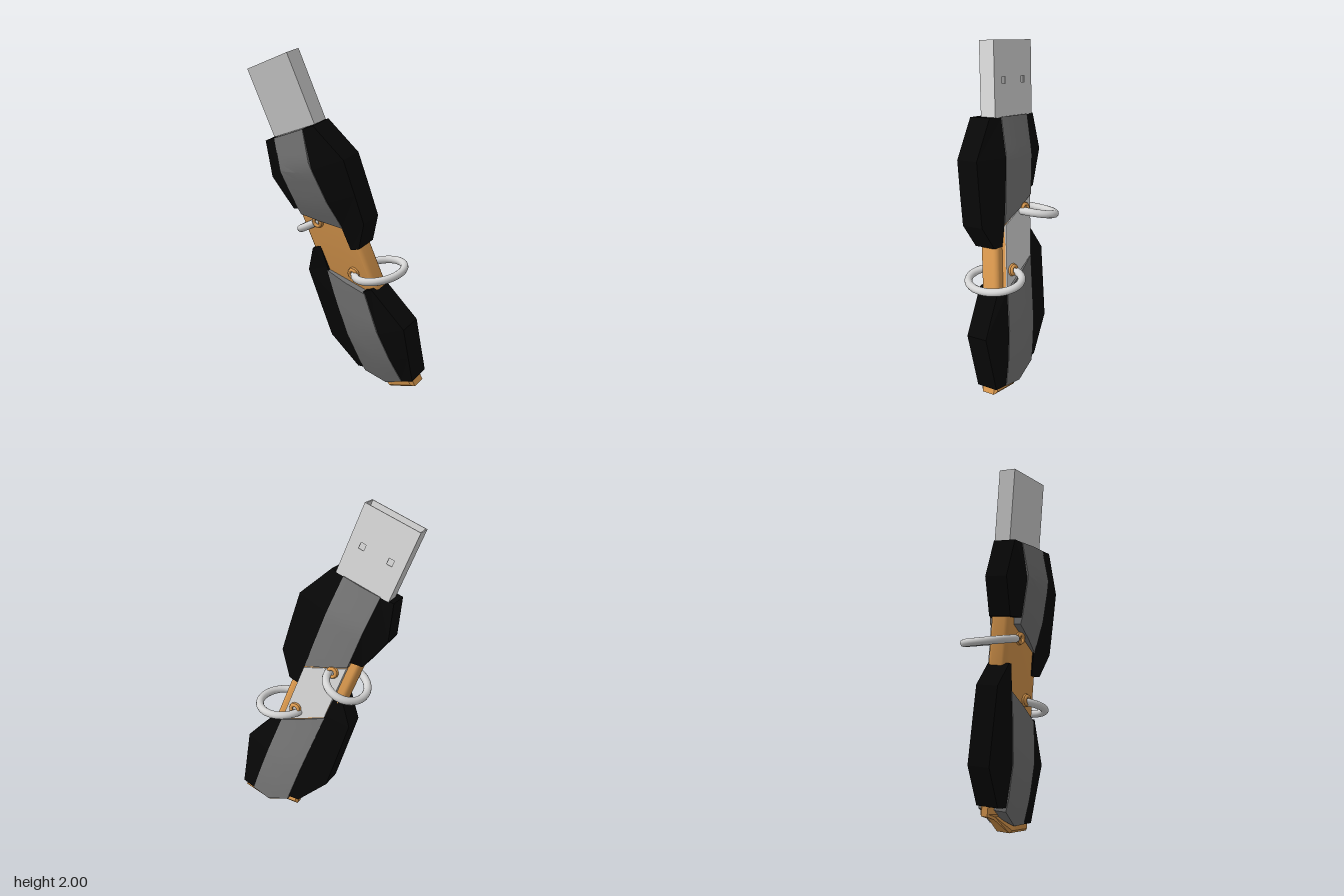
import * as THREE from 'three';
import { toCreasedNormals } from 'three/addons/utils/BufferGeometryUtils.js';

const mat = (name, color) => {
  const m = new THREE.MeshStandardMaterial({ color });
  m.name = name;
  return m;
};

// Piecewise linear lookup in a list of [v, value] points with rising v
const lookup = (pts, v) => {
  let i = 1;
  while (i < pts.length - 1 && v > pts[i][0]) i++;
  const [a, b] = [pts[i - 1], pts[i]];
  const k = THREE.MathUtils.clamp((v - a[0]) / (b[0] - a[0]), 0, 1);
  return a[1] + (b[1] - a[1]) * k;
};

export function createModel() {
  const black = mat('black casing', 0x070707);
  const grey = mat('dark grey metal', 0x747474);
  const silver = mat('silver metal', 0xd4d4d4);
  const orange = mat('copper orange', 0xdb994e);

  const model = new THREE.Group();
  model.name = 'tiltedUsbStick';

  // Tilted frame: u runs across the stick (u = -x), v along it, t through its thickness
  const W = new THREE.Vector3(0.389, 0.268, 0.881);
  const L = new THREE.Vector3(-0.331, 0.933, -0.137);
  const T = new THREE.Vector3(0.859, 0.238, -0.452);
  const stick = new THREE.Group();
  stick.name = 'stick';
  const basis = new THREE.Matrix4().makeBasis(W.clone().negate(), L, T);
  stick.quaternion.setFromRotationMatrix(basis).normalize();
  stick.position.set(0.352, 0.023, 0.107);
  model.add(stick);

  const add = (parent, name, geo, material) => {
    const mesh = new THREE.Mesh(geo, material);
    mesh.name = name;
    parent.add(mesh);
    return mesh;
  };
  const outline = (pts) => new THREE.Shape(pts.map(([u, v]) => new THREE.Vector2(-u, v)));
  // Slab with a (u, v) outline between two thickness levels, with rounded rims
  const slab = (pts, t0, t1, bevel = 0, segments = 1) => {
    const g = new THREE.ExtrudeGeometry(outline(pts), {
      depth: t1 - t0 - 2 * bevel, bevelEnabled: bevel > 0, bevelSegments: segments,
      bevelSize: bevel, bevelThickness: bevel, bevelOffset: -bevel,
    });
    return g.translate(0, 0, t0 + bevel);
  };
  const box = (u0, u1, v0, v1, t0, t1) =>
    new THREE.BoxGeometry(u1 - u0, v1 - v0, t1 - t0)
      .translate(-(u0 + u1) / 2, (v0 + v1) / 2, (t0 + t1) / 2);

  // Swelling of the casing faces along the stick
  const upper = {
    front: [[0.9, 0.042], [1.1, 0.069], [1.42, 0.083], [1.643, 0.052]],
    back: [[0.9, -0.09], [1.05, -0.094], [1.21, -0.135], [1.45, -0.157], [1.643, -0.102]],
  };
  const lower = {
    front: [[0.045, 0.046], [0.2, 0.068], [0.4, 0.08], [0.72, 0.068], [0.82, 0.064], [0.953, 0.04]],
    back: [[0.045, -0.1], [0.2, -0.128], [0.4, -0.143], [0.65, -0.12], [0.8, -0.1], [0.953, -0.085]],
  };

  // Black grip wing lofted down through [v, outer u] stations, thinner at its outer edge
  const wing = (name, side, swell, stations) => {
    const rings = stations.map(([v, u]) => [
      [0.112, lookup(swell.front, v)], [u, 0.038], [u, -0.102], [0.112, lookup(swell.back, v)],
    ].map(([uu, t]) => [-side * uu, v, t]));
    const pos = [];
    const quad = (a, b, c, d) => {
      const q = side > 0 ? [a, b, c, a, c, d] : [c, b, a, d, c, a];
      q.forEach((p) => pos.push(...p));
    };
    for (let i = 0; i < rings.length - 1; i++) {
      const [a, b] = [rings[i], rings[i + 1]];
      for (let k = 0; k < 4; k++) quad(a[k], a[(k + 1) % 4], b[(k + 1) % 4], b[k]);
    }
    const [first, last] = [rings[0], rings[rings.length - 1]];
    quad(first[3], first[2], first[1], first[0]);
    quad(last[0], last[1], last[2], last[3]);
    const g = new THREE.BufferGeometry();
    g.setAttribute('position', new THREE.Float32BufferAttribute(pos, 3));
    g.computeVertexNormals();
    add(stick, name, g, black);
  };
  wing('upperLongWing', 1, upper, [[1.643, 0.2], [1.416, 0.32], [1.21, 0.305], [1.04, 0.29], [0.9, 0.185]]);
  wing('upperShortWing', -1, upper, [[1.643, 0.195], [1.428, 0.257], [1.213, 0.188]]);
  wing('lowerShortWing', 1, lower, [[0.648, 0.16], [0.38, 0.283], [0.2, 0.238], [0.045, 0.2]]);
  wing('lowerLongWing', -1, lower,
    [[0.953, 0.163], [0.822, 0.267], [0.6, 0.281], [0.379, 0.294], [0.156, 0.178]]);

  // Ridged grey spines, visible on both faces, with slanted ends
  const spine = (name, swell, bottom, top) => {
    const h = 0.118;
    const section = new THREE.Shape([
      [-h, -1], [0, -1.1], [h, -1], [h, 1], [0, 1.1], [-h, 1],
    ].map(([x, y]) => new THREE.Vector2(x, y)));
    const g = new THREE.ExtrudeGeometry(section, { depth: 1, steps: 10, bevelEnabled: false });
    g.rotateX(-Math.PI / 2);
    const p = g.attributes.position;
    for (let i = 0; i < p.count; i++) {
      const u = -p.getX(i);
      const v = THREE.MathUtils.lerp(bottom(u), top(u), p.getY(i));
      const proud = Math.abs(u) < 0.01 ? 0.01 : 0.003;
      const t = p.getZ(i) > 0 ? lookup(swell.front, v) + proud : lookup(swell.back, v) - proud;
      p.setXYZ(i, -u, v, t);
    }
    add(stick, name, toCreasedNormals(g, 0.35), grey);
  };
  spine('upperSpine', upper, (u) => 1.106 - 0.6 * u, () => 1.643);
  spine('lowerSpine', lower, (u) => (u < 0 ? 0.045 - 0.75 * u : 0.045), (u) => 0.718 - 0.71 * u);

  // Orange inner core seen between the casings
  add(stick, 'core', toCreasedNormals(slab([
    [0.17, 0.6], [0.17, 1.1], [0.1, 1.3], [-0.175, 1.3], [-0.175, 0.85], [-0.1, 0.6],
  ], -0.085, 0.04, 0.03, 4), 0.6), orange);

  // Orange end cap at the foot, thinner on its raised side
  const cap = slab([
    [0.175, 0.12], [0.185, 0.0], [0, 0.002], [-0.1, 0.08], [-0.175, 0.1], [-0.17, 0.22],
  ], -0.095, 0.02, 0.016);
  const cp = cap.attributes.position;
  for (let i = 0; i < cp.count; i++) {
    if (cp.getX(i) > 0.05) cp.setZ(i, Math.max(cp.getZ(i), -0.035));
  }
  cap.computeVertexNormals();
  add(stick, 'endCap', cap, orange);

  // Silver label plate over an orange rim
  const plate = [[0.118, 0.634], [0.118, 1.036], [-0.115, 1.174], [-0.115, 0.8]];
  add(stick, 'plateRim', slab(plate, 0.03, 0.063), orange);
  add(stick, 'facePlate', slab(plate.map(([u, v], i) => [u, v + (i === 1 || i === 2 ? -0.008 : 0.008)]),
    0.04, 0.07), silver);

  // Hollow plug shell: punched front wall, plain back and side walls
  const r = 0.168, end = 2.06, root = 1.64, w = 0.006;
  const wall = outline([[-r, root], [r, root], [r, end], [-r, end]]);
  for (const u of [-0.087, 0.087]) {
    wall.holes.push(new THREE.Path([[-1, -1], [1, -1], [1, 1], [-1, 1]]
      .map(([a, b]) => new THREE.Vector2(-u + a * 0.016, 1.842 + b * 0.018))));
  }
  add(stick, 'plugFrontWall',
    new THREE.ExtrudeGeometry(wall, { depth: w, bevelEnabled: false }).translate(0, 0, 0.051 - w), silver);
  add(stick, 'plugBackWall', box(-r, r, root, end, -0.051, -0.051 + w), silver);
  for (const s of [-1, 1]) {
    const a = s * r, b = s * (r - w);
    add(stick, 'plugSideWall',
      box(Math.min(a, b), Math.max(a, b), root, end, -0.051 + w, 0.051 - w), silver);
  }
  add(stick, 'plugFloor', box(-0.161, 0.161, root, 1.68, -0.045, 0.045), silver);
  add(stick, 'plugTongue', box(-0.161, 0.161, 1.66, 2.02, -0.045, -0.003), silver);

  // Orange eyelets on both faces
  for (const [u, v] of [[0.066, 0.757], [-0.05, 1.103]]) {
    for (const t of [-0.088, 0.072]) {
      for (const lift of [0, 0.012]) {
        const e = add(stick, 'eyelet',
          new THREE.TorusGeometry(lift ? 0.024 : 0.028, 0.01, 8, 24), orange);
        e.position.set(-u, v, t + Math.sign(t) * lift);
      }
    }
  }

  // Silver rings looped around the edges
  const ring = (name, center, normal, a, b) => {
    const n = new THREE.Vector3(...normal).normalize();
    const ax = T.clone().addScaledVector(n, -T.dot(n)).normalize();
    const bx = new THREE.Vector3().crossVectors(n, ax);
    const pts = [];
    for (let i = 0; i < 24; i++) {
      const q = (i / 24) * Math.PI * 2;
      pts.push(new THREE.Vector3(...center)
        .addScaledVector(ax, a * Math.cos(q)).addScaledVector(bx, b * Math.sin(q)));
    }
    const path = new THREE.CatmullRomCurve3(pts, true);
    add(model, name, new THREE.TubeGeometry(path, 64, 0.023, 12, true), silver);
  };
  ring('lowerRing', [0.196, 0.738, 0.146], [-0.17, 1, 0.08], 0.166, 0.135);
  ring('upperRing', [-0.02, 1.0, -0.194], [-0.33, 1, -0.33], 0.156, 0.122);

  return model;
}
